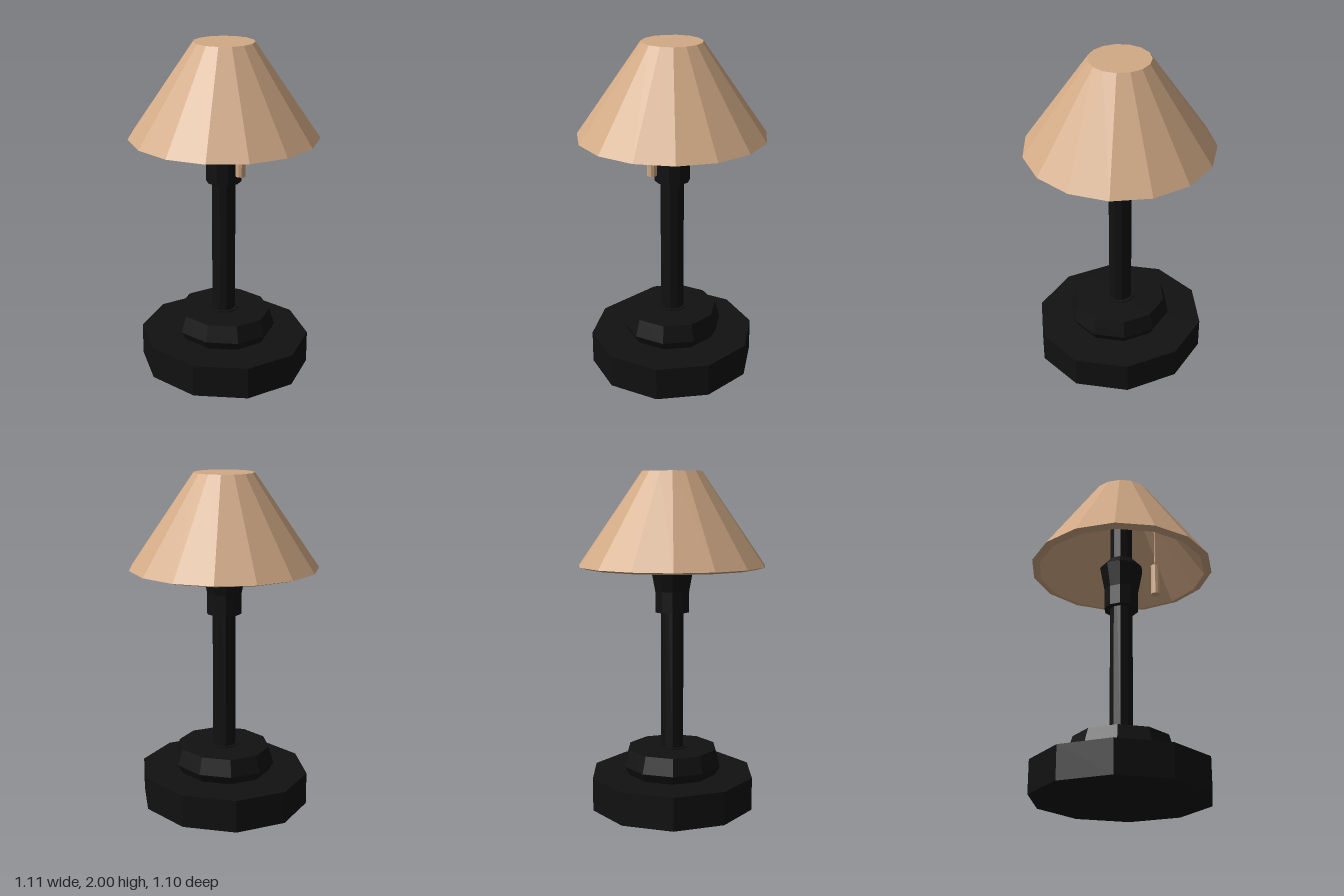
import * as THREE from 'three';

const black = new THREE.MeshStandardMaterial({ color: 0x111111, flatShading: true });
const tan = new THREE.MeshStandardMaterial({ color: 0xd2aa86, flatShading: true });

// Faceted solid of revolution from [radius, height] pairs; outer walls run upwards.
function turned(name, profile, sides, material) {
  const points = profile.map(([r, y]) => new THREE.Vector2(r, y));
  const mesh = new THREE.Mesh(new THREE.LatheGeometry(points, sides), material);
  mesh.name = name;
  return mesh;
}

export function createModel() {
  const lamp = new THREE.Group();
  lamp.name = 'tableLamp';

  // Ten-sided foot and bevelled pedestal, slightly narrower across x
  const base = turned('base', [[0, 0], [0.528, 0], [0.528, 0.197], [0, 0.197]], 10, black);
  const pedestal = turned('pedestal',
    [[0, 0.19], [0.285, 0.19], [0.318, 0.25], [0.286, 0.35], [0, 0.35]], 10, black);
  for (const part of [base, pedestal]) {
    part.scale.x = 0.942;
    part.position.z = 0.007;
  }

  // Stem with a low collar at its foot
  const collar = turned('collar', [[0, 0.34], [0.092, 0.34], [0.092, 0.356], [0, 0.356]], 10, black);
  const stem = turned('stem', [[0, 0.34], [0.07, 0.34], [0.07, 1.96], [0, 1.96]], 10, black);

  // Bulb socket: straight sleeve flaring to a chamfered head
  const socket = turned('socket',
    [[0, 1.175], [0.105, 1.175], [0.105, 1.3], [0.134, 1.45], [0.085, 1.505], [0, 1.505]], 10, black);
  for (const part of [collar, stem, socket]) part.position.z = 0.003;

  // Hollow fifteen-sided shade: inner wall, rim, outer wall, closed top
  const shade = turned('shade',
    [[0, 1.955], [0.15, 1.955], [0.512, 1.437], [0.558, 1.45], [0.1775, 2], [0, 2]], 15, tan);
  shade.rotation.y = Math.PI;
  shade.position.z = 0.005;

  // Pull switch hanging on a thin cord inside the shade
  const handle = turned('pullHandle', [[0, 1.265], [0.028, 1.265], [0.028, 1.46], [0, 1.46]], 10, tan);
  const cord = turned('pullCord', [[0, 1.45], [0.005, 1.45], [0.005, 1.88], [0, 1.88]], 6, tan);
  for (const part of [handle, cord]) part.position.set(-0.083, 0, 0.197);

  lamp.add(base, pedestal, collar, stem, socket, shade, handle, cord);
  return lamp;
}
